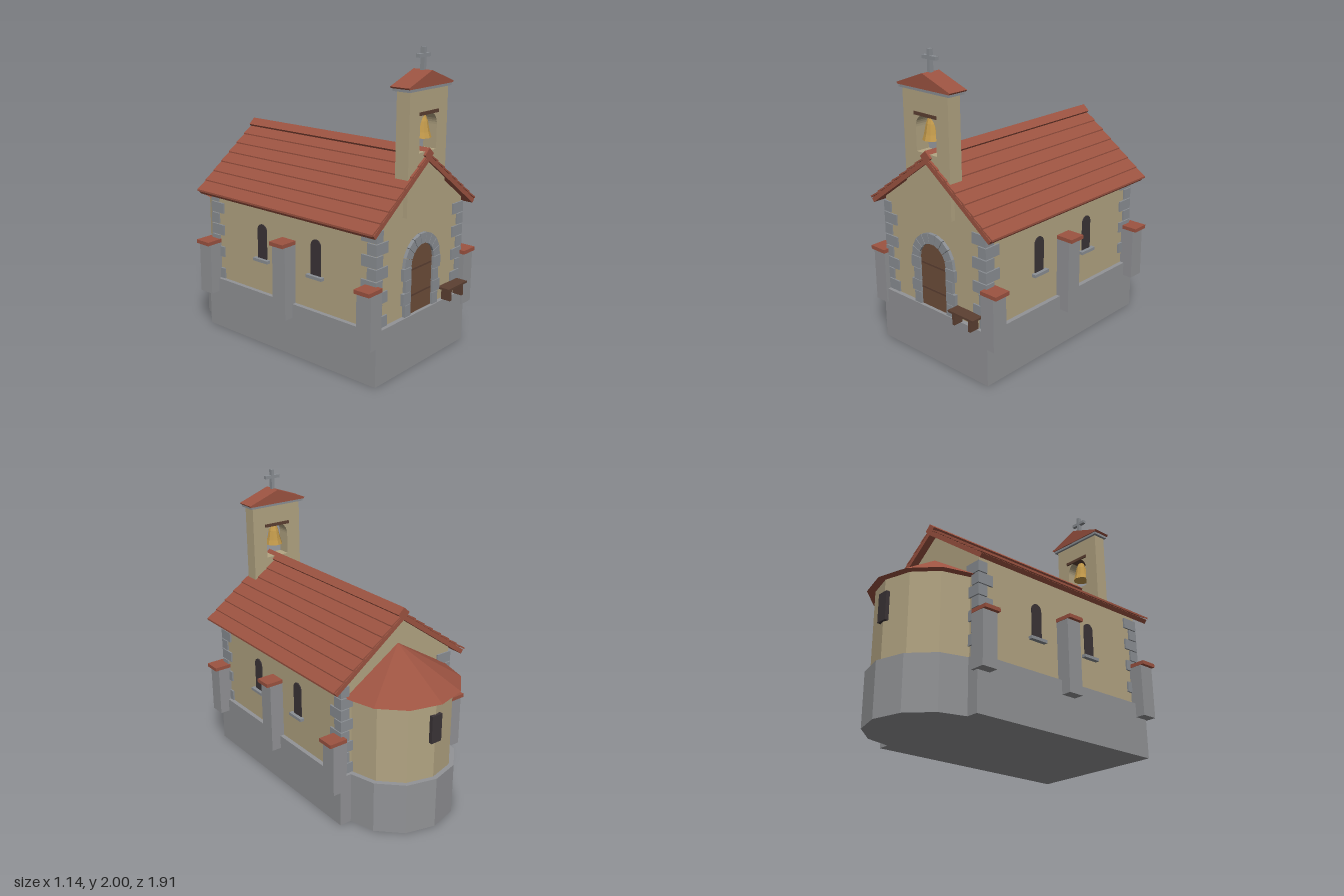
import * as THREE from 'three';

const mat = (name, color) => {
  const m = new THREE.MeshStandardMaterial({ color, flatShading: true });
  m.name = name;
  return m;
};

export function createModel() {
  const wall = mat('plaster', 0xb3a583);
  const stone = mat('plinthStone', 0x929396);
  const block = mat('cutStone', 0x8b8f94);
  const tile = mat('roofTile', 0x9c5341);
  const wood = mat('doorWood', 0x6e4e3a);
  const darkWood = mat('darkWood', 0x5c4032);
  const glass = mat('windowGlass', 0x3b3437);
  const brass = mat('bellBrass', 0xc39a4b);

  const root = new THREE.Group();
  root.name = 'chapel';
  const add = (name, geo, m, parent = root) => {
    const mesh = new THREE.Mesh(geo, m);
    mesh.name = name;
    parent.add(mesh);
    return mesh;
  };
  const group = (name) => {
    const g = new THREE.Group();
    g.name = name;
    root.add(g);
    return g;
  };
  // Box given by its limits on each axis
  const box = (name, m, x0, x1, y0, y1, z0, z1, parent) => {
    const b = add(name, new THREE.BoxGeometry(x1 - x0, y1 - y0, z1 - z0), m, parent);
    b.position.set((x0 + x1) / 2, (y0 + y1) / 2, (z0 + z1) / 2);
    return b;
  };
  // Outline in x and y, extruded from z0 to z1
  const slab = (name, m, shape, z0, z1, parent) => {
    const s = Array.isArray(shape) ? new THREE.Shape(shape.map(([x, y]) => new THREE.Vector2(x, y))) : shape;
    const geo = new THREE.ExtrudeGeometry(s, { depth: z1 - z0, bevelEnabled: false, curveSegments: 10 });
    return add(name, geo.translate(0, 0, z0), m, parent);
  };
  // Round-headed outline
  const arch = (half, y0, spring, Type = THREE.Shape) => {
    const s = new Type();
    s.moveTo(-half, y0);
    s.lineTo(half, y0);
    s.lineTo(half, spring);
    s.absarc(0, spring, half, 0, Math.PI, false);
    s.lineTo(-half, y0);
    return s;
  };

  // Plinth and nave
  box('plinth', stone, -0.475, 0.475, 0, 0.355, -0.567, 0.895);
  slab('nave', wall, [[-0.445, 0.34], [0.445, 0.34], [0.445, 1.01], [0, 1.33], [-0.445, 1.01]], -0.54, 0.865);

  // Half-round apse with six facets
  const apse = group('apse');
  const half = (name, m, rTop, r, y0, y1) => {
    const geo = new THREE.CylinderGeometry(rTop, r, y1 - y0, 6, 1, false, Math.PI / 2, Math.PI);
    add(name, geo, m, apse).position.set(0, (y0 + y1) / 2, -0.54);
  };
  half('apsePlinth', stone, 0.4, 0.4, 0, 0.355);
  half('apseWall', wall, 0.367, 0.367, 0.34, 0.895);
  half('apseRoof', tile, 0, 0.42, 0.89, 1.15);
  box('apseWindow', glass, -0.04, 0.04, 0.61, 0.8, -0.922, -0.885, apse);

  // Main roof: two slopes, lapped tile courses, ridge
  const roof = group('roof');
  const Z0 = -0.59, Z1 = 0.91;
  slab('roofDeck', tile, [[0, 1.32], [0.515, 0.95], [0.533, 0.974], [0, 1.357], [-0.533, 0.974], [-0.515, 0.95]], Z0, Z1, roof);
  const deckY = (x) => 1.357 - 0.718 * x;
  for (const s of [-1, 1]) {
    for (let i = 0; i < 7; i++) {
      const x = 0.1 + i * 0.0742, u = x - 0.092;
      const pts = [[u, deckY(u)], [x, deckY(x) + 0.009], [x, deckY(x) + 0.021], [u, deckY(u) + 0.011]];
      slab('tileCourse', tile, pts.map(([a, b]) => [s * a, b]), Z0, Z1, roof);
    }
  }
  slab('ridge', tile, [[0, 1.315], [0.045, 1.362], [0, 1.402], [-0.045, 1.362]], Z0, Z1, roof);

  // Alternating corner stones
  const quoins = group('cornerStones');
  for (const sx of [-1, 1]) {
    for (const sz of [-1, 1]) {
      for (let i = 0; i < 8; i++) {
        const wideX = (i % 2 === 0) === (sx * sz < 0);
        const lx = wideX ? 0.115 : 0.065, lz = wideX ? 0.07 : 0.115;
        const zc = sz > 0 ? 0.875 - lz / 2 : -0.55 + lz / 2;
        const y = 0.358 + i * 0.0775;
        const xc = sx * (0.457 - lx / 2);
        box('cornerStone', block, xc - lx / 2, xc + lx / 2, y, y + 0.071, zc - lz / 2, zc + lz / 2, quoins);
      }
    }
  }

  // Buttresses and side windows
  for (const s of [-1, 1]) {
    const side = group(s > 0 ? 'leftSide' : 'rightSide');
    for (const [z, top] of [[0.853, 0.61], [0.165, 0.75], [-0.53, 0.61]]) {
      const [a, b] = s > 0 ? [0.44, 0.543] : [-0.543, -0.44];
      const [c, d] = s > 0 ? [0.44, 0.568] : [-0.568, -0.44];
      box('buttress', stone, a, b, 0.26, top, z - 0.055, z + 0.055, side);
      box('buttressCap', tile, c, d, top, top + 0.025, z - 0.058, z + 0.058, side);
    }
    for (const z of [0.397, -0.071]) {
      const w = slab('window', glass, arch(0.04, 0.58, 0.782), 0, 0.009, side);
      w.rotation.y = s * Math.PI / 2;
      w.position.set(s * 0.443, 0, z);
      const [a, b] = s > 0 ? [0.44, 0.475] : [-0.475, -0.44];
      box('windowSill', block, a, b, 0.568, 0.588, z - 0.065, z + 0.065, side);
    }
  }

  // Doorway: arched door, jamb stones and arch stones
  const doorway = group('doorway');
  const spring = 0.676;
  slab('door', wood, arch(0.125, 0.355, spring), 0.86, 0.872, doorway);
  for (const y of [0.47, 0.64]) box('doorStrap', darkWood, -0.112, 0.112, y, y + 0.012, 0.87, 0.876, doorway);
  for (const s of [-1, 1]) {
    for (let i = 0; i < 4; i++) {
      const out = i % 2 ? 0.196 : 0.175, y = 0.355 + i * 0.0803;
      const [a, b] = s > 0 ? [0.117, out] : [-out, -0.117];
      box('jambStone', block, a, b, y, y + 0.077, 0.855, 0.887, doorway);
    }
  }
  for (let i = 0; i < 9; i++) {
    const a = (i * Math.PI) / 9 + 0.012, b = ((i + 1) * Math.PI) / 9 - 0.012;
    const at = (r, t) => [r * Math.cos(t), spring + r * Math.sin(t)];
    slab('archStone', block, [at(0.12, a), at(0.188, a), at(0.188, b), at(0.12, b)], 0.855, 0.887, doorway);
  }

  // Bench
  const bench = group('bench');
  box('benchSeat', darkWood, 0.203, 0.417, 0.432, 0.446, 0.872, 0.955, bench);
  for (const x of [0.242, 0.378]) box('benchLeg', darkWood, x - 0.01, x + 0.01, 0.355, 0.432, 0.88, 0.947, bench);

  // Bell tower with arched opening
  const tower = group('bellTower');
  const front = new THREE.Shape([[-0.195, 1], [0.195, 1], [0.195, 1.757], [-0.195, 1.757]].map((p) => new THREE.Vector2(...p)));
  front.holes.push(arch(0.088, 1.38, 1.53, THREE.Path));
  slab('towerWall', wall, front, 0.8, 0.895, tower);
  box('towerCornice', block, -0.215, 0.215, 1.755, 1.777, 0.782, 0.906, tower);
  slab('towerRoof', tile, [[-0.222, 1.772], [0.222, 1.772], [0.23, 1.782], [0, 1.866], [-0.23, 1.782]], 0.775, 0.91, tower);
  box('crossPost', block, -0.011, 0.011, 1.85, 2, 0.829, 0.857, tower);
  box('crossArm', block, -0.058, 0.058, 1.938, 1.96, 0.83, 0.856, tower);

  // Bell and its beam
  box('bellBeam', darkWood, -0.098, 0.098, 1.605, 1.626, 0.79, 0.9, tower);
  const profile = [[0, 1.468], [0.048, 1.46], [0.061, 1.46], [0.05, 1.495], [0.036, 1.56], [0.022, 1.598], [0, 1.606]];
  const bell = new THREE.LatheGeometry(profile.map(([x, y]) => new THREE.Vector2(x, y)), 10);
  add('bell', bell, brass, tower).position.z = 0.845;

  return root;
}
